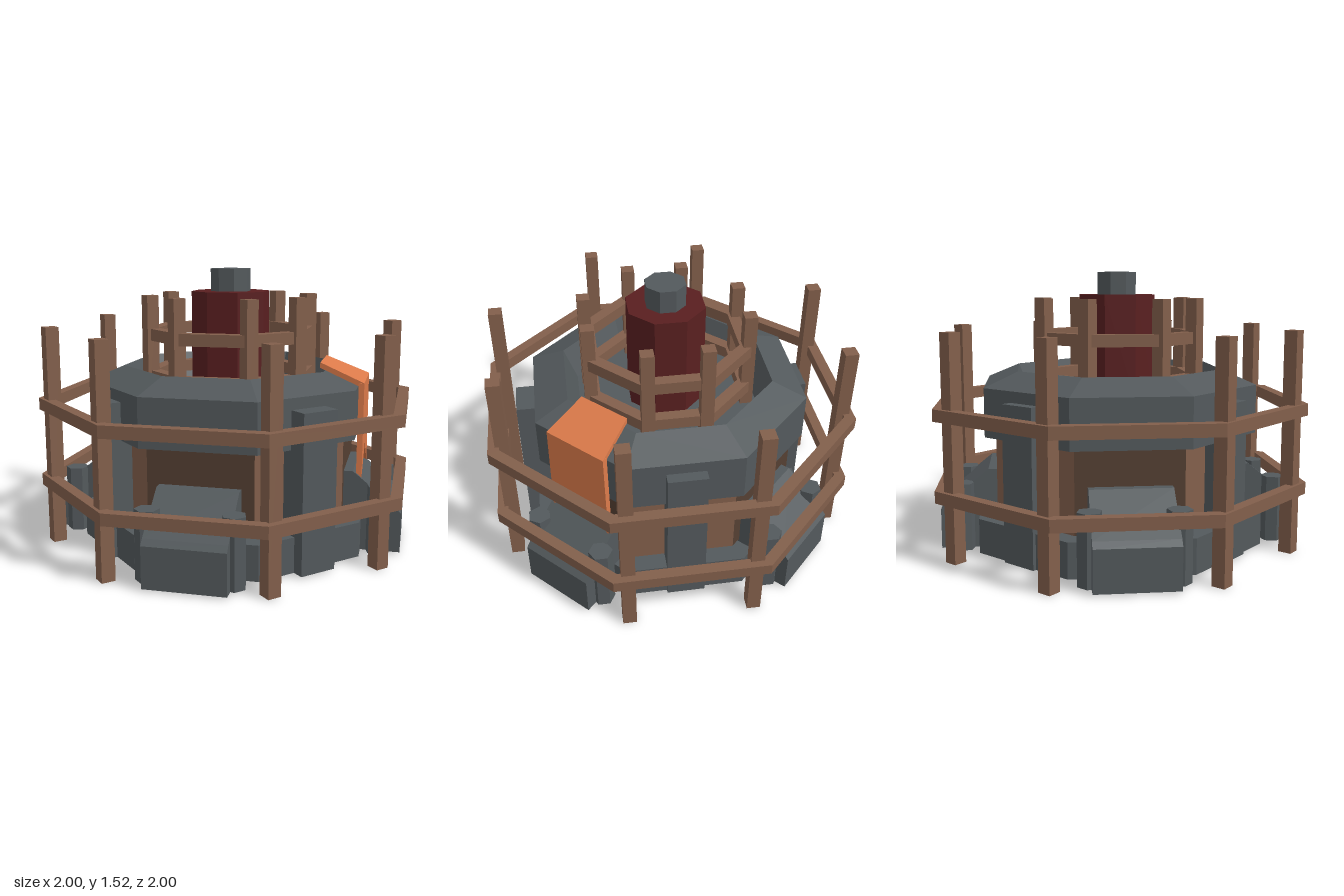
import * as THREE from 'three';

const mat = (name, color, side = THREE.FrontSide) => {
  const m = new THREE.MeshStandardMaterial({ color, side, flatShading: true });
  m.name = name;
  return m;
};

export function createModel() {
  const model = new THREE.Group();
  const stone = mat('slate grey', 0x53595c, THREE.DoubleSide);
  const wood = mat('brown wood', 0x825f4b);
  const darkWood = mat('dark brown wood', 0x543f32);
  const cloth = mat('orange cloth', 0xdb7a4a);
  const red = mat('dark red', 0x591f20);
  const OCT = 1 / Math.cos(Math.PI / 8); // flat-to-corner ratio of an octagon
  const BASE = 0.01;

  const add = (parent, name, geometry, material) => {
    const mesh = new THREE.Mesh(geometry, material);
    mesh.name = name;
    parent.add(mesh);
  };
  const group = (name, angle) => {
    const g = new THREE.Group();
    g.name = name;
    g.rotation.y = angle;
    model.add(g);
    return g;
  };
  const box = (x0, x1, y0, y1, z0, z1) =>
    new THREE.BoxGeometry(x1 - x0, y1 - y0, z1 - z0)
      .translate((x0 + x1) / 2, (y0 + y1) / 2, (z0 + z1) / 2);
  // Octagonal solid from [apothem, y] pairs, flats facing the axes
  const octagon = (pts) => new THREE.LatheGeometry(
    pts.map(([r, y]) => new THREE.Vector2(r * OCT, y)), 8, Math.PI / 8);
  const rail = (inner, outer, y0, y1) =>
    octagon([[inner, y0], [outer, y0], [outer, y1], [inner, y1], [inner, y0]]);
  const extrude = (pts, depth) => new THREE.ExtrudeGeometry(
    new THREE.Shape(pts.map(([x, y]) => new THREE.Vector2(x, y))),
    { depth, bevelEnabled: false });
  // Drops the faces lying on the ground, leaving a hollow shell
  const openBottom = (geometry) => {
    const src = geometry.index ? geometry.toNonIndexed() : geometry;
    const p = src.attributes.position;
    const kept = [];
    for (let i = 0; i < p.count; i += 3) {
      if (Math.max(p.getY(i), p.getY(i + 1), p.getY(i + 2)) < BASE + 0.005) continue;
      for (let k = i; k < i + 3; k++) kept.push(p.getX(k), p.getY(k), p.getZ(k));
    }
    const out = new THREE.BufferGeometry();
    out.setAttribute('position', new THREE.Float32BufferAttribute(kept, 3));
    out.computeVertexNormals();
    return out;
  };

  // Raised floor, upper wall band, sloped roof and sunken deck
  add(model, 'floor', octagon([[0, 0.215], [0.67, 0.215]]), stone);
  add(model, 'roof', octagon([[0, 0.645], [0.74, 0.645], [0.74, 0.91],
    [0.56, 0.99], [0.49, 0.82], [0, 0.82]]), stone);

  // Tower and its chimney
  add(model, 'tower', octagon([[0.205, 0.82], [0.205, 1.4], [0, 1.4]]), red);
  add(model, 'chimney', octagon([[0.105, 1.4], [0.105, 1.525], [0, 1.525]]), stone);

  // Straight sides: sill wrapping the corners, timber wall, pilaster, inner posts
  const sillPlan = [[-0.302, 0.632], [-0.387, 0.716], [-0.323, 0.78], [0.323, 0.78],
    [0.387, 0.716], [0.302, 0.632], [0.273, 0.66], [-0.273, 0.66]];
  const half = 0.68 * Math.tan(Math.PI / 8);
  for (let i = 0; i < 4; i++) {
    const side = group('straightSide', i * Math.PI / 2);
    const sill = extrude(sillPlan.map(([x, z]) => [x, -z]), 0.19)
      .rotateX(-Math.PI / 2).translate(0, BASE, 0);
    add(side, 'sill', openBottom(sill), stone);
    add(side, 'timberWall', box(-half, half, 0.195, 0.65, 0.67, 0.68), wood);
    add(side, 'pilaster',
      openBottom(box(-0.105, 0.105, BASE, 0.85, 0.66, i === 0 ? 0.845 : 0.8)), stone);
    for (const x of [-0.155, 0.155]) {
      add(side, 'innerPost', box(x - 0.035, x + 0.035, 0.82, 1.38, 0.395, 0.465), wood);
    }
  }

  // Diagonal sides: dark timber wall, sloped bunker flanked by hexagonal stakes
  const bunkerProfile = [[0.66, BASE], [0.993, BASE], [0.993, 0.23],
    [0.965, 0.26], [0.73, 0.45], [0.66, 0.45]];
  for (let i = 0; i < 4; i++) {
    const side = group('diagonalSide', Math.PI / 4 + i * Math.PI / 2);
    add(side, 'timberWall', box(-half, half, 0.195, 0.65, 0.67, 0.68), darkWood);
    const bunker = extrude(bunkerProfile, 0.43).translate(0, 0, -0.215).rotateY(-Math.PI / 2);
    add(side, 'bunker', openBottom(bunker), stone);
    for (const s of [-1, 1]) {
      const stake = new THREE.CylinderGeometry(0.065, 0.065, 0.37, 6)
        .rotateY(0.26 * s).translate(s * 0.22, BASE + 0.185, 0.87);
      add(side, 'stake', openBottom(stake), stone);
    }
  }

  // Fence posts, set very slightly off centre
  for (const a of [-1, 1]) for (const b of [-1, 1]) {
    for (const [px, pz] of [[0.34, 0.932], [0.935, 0.34]]) {
      const x = a * px - 0.01, z = b * pz - 0.007;
      add(model, 'outerPost',
        box(x - 0.037, x + 0.037, 0, 1.215, z - 0.037, z + 0.037), wood);
    }
  }

  // Octagonal fence rails
  for (const y of [0.317, 0.752]) add(model, 'outerRail', rail(0.94, 1, y, y + 0.065), wood);
  for (const y of [0.9, 1.132]) add(model, 'innerRail', rail(0.38, 0.445, y, y + 0.065), wood);

  // Swallow-tailed banner draped over one diagonal side
  const banner = group('banner', Math.PI / 4);
  add(banner, 'bannerHanging', extrude([[-0.197, 0.41], [0, 0.56], [0.197, 0.41],
    [0.19, 0.93], [-0.19, 0.93]], 0.03).translate(0, 0, 0.745), cloth);
  const top = new THREE.BoxGeometry(2, 0.03, 2);
  const q = top.attributes.position;
  for (let k = 0; k < q.count; k++) {
    const outer = q.getZ(k) > 0;
    q.setXYZ(k, Math.sign(q.getX(k)) * (outer ? 0.19 : 0.153),
      q.getY(k) + (outer ? 0.915 : 1.015), outer ? 0.775 : 0.533);
  }
  add(banner, 'bannerTop', top, cloth);

  return model;
}
